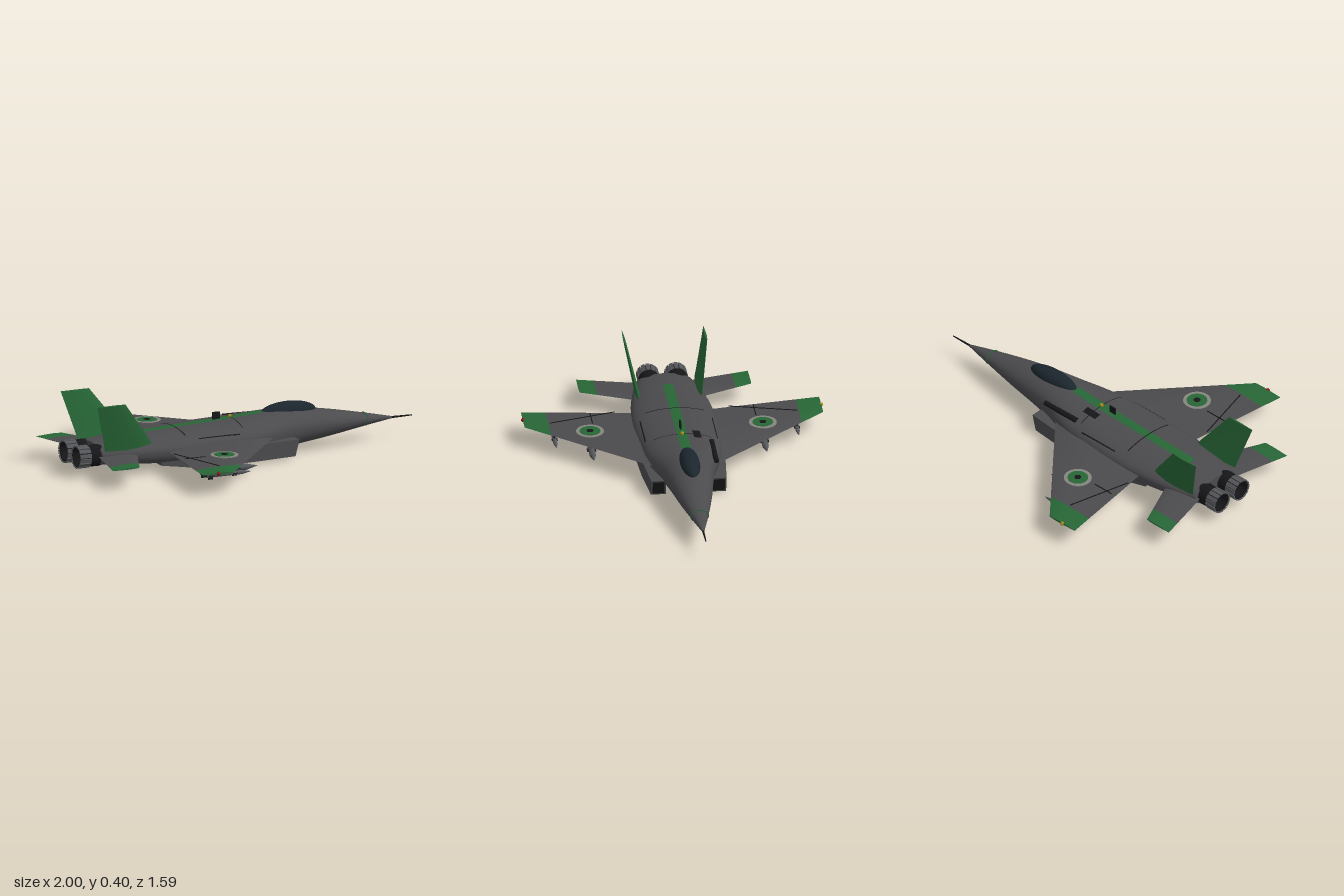
import * as THREE from 'three';
import { toCreasedNormals } from 'three/addons/utils/BufferGeometryUtils.js';

const mat = (c) => new THREE.MeshStandardMaterial({ color: c, side: THREE.DoubleSide });
const BODY = mat(0x4b4b4e), GREEN = mat(0x276636), DARK = mat(0x161618), GLASS = mat(0x1b262d),
  METAL = mat(0x55565a), PALE = mat(0x85857f), RED = mat(0x8a1c1c), AMBER = mat(0xa58a20);

// Fuselage stations: x, half width, top y, bottom y, roundness exponent of the belly
const ST = [
  [-0.88, 0.150, 0.165, 0.050, 2.6], [-0.75, 0.182, 0.180, 0.044, 2.8], [-0.60, 0.208, 0.188, 0.037, 3],
  [-0.40, 0.223, 0.196, 0.028, 3], [-0.20, 0.218, 0.204, 0.022, 3], [0, 0.200, 0.214, 0.020, 3],
  [0.10, 0.176, 0.221, 0.022, 2.8], [0.20, 0.145, 0.226, 0.026, 2.5], [0.32, 0.121, 0.222, 0.034, 2.2],
  [0.50, 0.092, 0.197, 0.054, 2], [0.72, 0.046, 0.154, 0.086, 2], [0.88, 0.006, 0.119, 0.107, 2]];

// Smooth interpolation between stations
function station(x) {
  let i = 0;
  while (i < ST.length - 2 && x > ST[i + 1][0]) i++;
  const slope = (j, k) => {
    const a = ST[Math.max(j - 1, 0)], b = ST[Math.min(j + 1, ST.length - 1)];
    return (b[k] - a[k]) / (b[0] - a[0]);
  };
  const h = ST[i + 1][0] - ST[i][0], t = (x - ST[i][0]) / h, t2 = t * t, t3 = t2 * t;
  const [w, top, bot, n] = [1, 2, 3, 4].map((k) => (2 * t3 - 3 * t2 + 1) * ST[i][k] + (t3 - 2 * t2 + t) * h * slope(i, k)
    + (3 * t2 - 2 * t3) * ST[i + 1][k] + (t3 - t2) * h * slope(i + 1, k));
  return { w, top, bot, n, mid: bot + (top - bot) * 0.52 };
}
const topY = (x, z) => {
  const s = station(x);
  return s.mid + (s.top - s.mid) * Math.sqrt(Math.max(0, 1 - (z / s.w) ** 2));
};

// Skin a list of equal-length rings, cap both ends and orient the faces outward
function loft(rings, crease) {
  const n = rings[0].length, p = rings.flat(2), idx = [];
  for (let r = 0; r < rings.length - 1; r++) for (let i = 0; i < n; i++) {
    const a = r * n + i, b = r * n + (i + 1) % n;
    idx.push(a, b, a + n, b, b + n, a + n);
  }
  [0, rings.length - 1].forEach((r) => {
    const base = p.length / 3, c = [0, 1, 2].map((k) => rings[r].reduce((s, v) => s + v[k], 0) / n);
    p.push(...rings[r].flat(), ...c);
    for (let i = 0; i < n; i++) {
      const a = base + i, b = base + (i + 1) % n;
      idx.push(...(r ? [a, b, base + n] : [b, a, base + n]));
    }
  });
  const v = (i) => new THREE.Vector3().fromArray(p, idx[i] * 3);
  let vol = 0;
  for (let i = 0; i < idx.length; i += 3) vol += v(i).dot(v(i + 1).cross(v(i + 2)));
  if (vol < 0) idx.reverse();
  const g = new THREE.BufferGeometry();
  g.setAttribute('position', new THREE.Float32BufferAttribute(p, 3));
  g.setIndex(idx);
  g.computeVertexNormals();
  return crease ? toCreasedNormals(g, crease) : g;
}

// Aerofoil ring between a leading and trailing point, thickened along nrm
const FOIL = [[0, 0], [0.08, 0.55], [0.35, 1], [0.7, 0.6], [1, 0.08], [1, -0.08], [0.7, -0.6], [0.35, -1], [0.08, -0.55]];
const foil = (le, te, t, nrm) => FOIL.map(([c, h]) => le.map((v, k) => v + (te[k] - v) * c + nrm[k] * h * t));

export function createModel() {
  const root = new THREE.Group();
  const add = (name, geo, m, x = 0, y = 0, z = 0, parent = root) => {
    const o = new THREE.Mesh(geo, m);
    o.name = name;
    o.position.set(x, y, z);
    parent.add(o);
    return o;
  };
  const box = (x, y, z) => new THREE.BoxGeometry(x, y, z);
  const rod = (r0, r1, len, n = 16) => new THREE.CylinderGeometry(r0, r1, len, n).rotateZ(-Math.PI / 2);

  // Fuselage
  const rings = [];
  for (let i = 0; i <= 56; i++) {
    const x = -0.88 + 1.76 * i / 56, s = station(x), ring = [];
    for (let j = 0; j < 48; j++) {
      const a = j / 48 * Math.PI * 2, c = Math.cos(a), d = Math.sin(a), e = d < 0 ? 2 / s.n : 1;
      ring.push([x, s.mid + (d > 0 ? (s.top - s.mid) * d : -(s.mid - s.bot) * (-d) ** e),
        s.w * Math.sign(c) * Math.abs(c) ** e]);
    }
    rings.push(ring);
  }
  add('fuselage', loft(rings, 0.7), BODY);
  add('noseProbe', rod(0.003, 0.006, 0.13, 10), DARK, 0.935, 0.113, 0);
  const s72 = station(0.72);
  add('noseBand', new THREE.TorusGeometry(s72.w, 0.003, 6, 32).rotateY(Math.PI / 2).scale(1, 0.75, 1), GREEN, 0.72, s72.mid, 0);

  // Strips that follow the upper skin
  const strip = (name, m, x0, x1, z0, z1, lift = 0.002) => {
    const g = new THREE.PlaneGeometry(x1 - x0, z1 - z0, 24, 12).rotateX(-Math.PI / 2).translate((x0 + x1) / 2, 0, (z0 + z1) / 2);
    const p = g.attributes.position;
    for (let i = 0; i < p.count; i++) p.setY(i, topY(p.getX(i), p.getZ(i)) + lift);
    g.computeVertexNormals();
    add(name, g, m);
  };
  strip('spineStripe', GREEN, -0.71, 0.12, -0.027, 0.027);
  strip('panelLine', DARK, -0.403, -0.397, -0.155, 0.155, 0.004);
  strip('panelLine', DARK, -0.067, -0.063, -0.155, 0.155, 0.004);
  strip('dorsalPanel', DARK, -0.11, -0.02, -0.098, -0.058, 0.005);

  // Canopy, antenna, beacon, gun and belly sensor
  add('canopy', new THREE.SphereGeometry(1, 40, 24).scale(0.16, 0.055, 0.053), GLASS, 0.275, 0.207, 0);
  add('bladeAntenna', box(0.042, 0.05, 0.008), DARK, -0.145, 0.222, 0);
  add('beacon', new THREE.SphereGeometry(0.011, 12, 8), AMBER, -0.065, 0.217, 0);
  add('gunFairing', rod(0.013, 0.016, 0.23), DARK, 0.085, 0.178, -0.15);
  add('bellySensor', new THREE.SphereGeometry(0.016, 16, 12), DARK, 0.315, 0.016, 0);
  add('sensorMount', box(0.03, 0.025, 0.018), DARK, 0.315, 0.034, 0);

  // Everything that comes in pairs
  for (const s of [1, -1]) {
    const side = s > 0 ? 'right' : 'left';
    strip('sideLine', DARK, -0.34, -0.1, s * 0.19 - 0.003, s * 0.19 + 0.003, 0.003);

    // Intake duct with slanted mouth
    const duct = (xt, xb, yt, yb, zi, zo) => [[xt, yt, s * zi], [xt, yt, s * zo], [xb, yb, s * zo], [xb, yb, s * zi]];
    add(side + 'Intake', loft([duct(0.245, 0.222, 0.1, 0.012, 0.12, 0.198), duct(0, 0, 0.1, 0.012, 0.12, 0.22),
      duct(-0.2, -0.2, 0.095, 0.012, 0.12, 0.228), duct(-0.37, -0.37, 0.09, 0.014, 0.12, 0.215),
      duct(-0.55, -0.55, 0.09, 0.036, 0.12, 0.18)], 0.3), BODY);
    add(side + 'IntakeMouth', loft([duct(0.2445, 0.226, 0.092, 0.02, 0.128, 0.19), duct(0.2, 0.2, 0.092, 0.02, 0.128, 0.19)], 0.3), DARK);

    // Main wing with painted tip
    const wing = (z) => {
      const t = (z - 0.2) / 0.585;
      return foil([0.08 - 0.51 * t, 0.117 - 0.002 * t, s * z], [-0.53 - 0.08 * t, 0.115, s * z], 0.018 - 0.012 * t, [0, 1, 0]);
    };
    add(side + 'Wing', loft([wing(0.12), wing(0.66)], 0.5), BODY);
    add(side + 'WingTip', loft([wing(0.66), wing(0.785)], 0.5), GREEN);
    add(side + 'TipLight', new THREE.SphereGeometry(0.011, 12, 8), s > 0 ? RED : AMBER, -0.52, 0.115, s * 0.785);
    const hinge = add(side + 'WingHinge', box(0.36, 0.003, 0.005), DARK, -0.495, 0.124, s * 0.475);
    hinge.rotation.y = -s * Math.atan2(0.35, 0.09);
    add(side + 'FlapGap', box(0.12, 0.003, 0.005), DARK, -0.48, 0.124, s * 0.43);
    [[0.073, PALE], [0.054, GREEN], [0.018, DARK]].forEach(([r, m], i) =>
      add(side + 'WingDisc', new THREE.CylinderGeometry(r, r, 0.004, 40), m, -0.322, 0.1285 + i * 0.0015, s * 0.455));

    // Tailplane with painted tip
    const tail = (z) => {
      const t = (z - 0.18) / 0.272;
      return foil([-0.695 - 0.12 * t, 0.11, s * z], [-0.905 - 0.067 * t, 0.107, s * z], 0.01 - 0.006 * t, [0, 1, 0]);
    };
    add(side + 'Tailplane', loft([tail(0.1), tail(0.365)], 0.5), BODY);
    add(side + 'TailplaneTip', loft([tail(0.365), tail(0.452)], 0.5), GREEN);

    // Canted fin
    const n = [0, -0.2 * s, 0.98];
    add(side + 'Fin', loft([foil([-0.59, 0.14, s * 0.16], [-0.872, 0.14, s * 0.16], 0.014, n),
      foil([-0.62, 0.187, s * 0.171], [-0.884, 0.187, s * 0.171], 0.011, n),
      foil([-0.78, 0.395, s * 0.215], [-0.945, 0.395, s * 0.215], 0.006, n)], 0.5), GREEN);

    // Engine nozzle: collar, open flared cup and ring of petals
    const nozzle = new THREE.Group();
    nozzle.name = side + 'Nozzle';
    nozzle.position.set(0, 0.106, s * 0.074);
    root.add(nozzle);
    const prof = [[0.05, -0.84], [0.058, -0.88], [0.055, -0.94], [0.054, -0.995], [0.046, -0.995], [0.038, -0.9], [0, -0.9]];
    add('nozzleCup', toCreasedNormals(new THREE.LatheGeometry(prof.map((q) => new THREE.Vector2(...q)), 32).rotateZ(-Math.PI / 2), 0.6), DARK, 0, 0, 0, nozzle);
    for (let i = 0; i < 14; i++) {
      const a = i / 14 * Math.PI * 2;
      const petal = add('nozzlePetal', box(0.065, 0.007, 0.021), METAL, -0.9675, Math.cos(a) * 0.056, Math.sin(a) * 0.056, nozzle);
      petal.rotation.x = a;
    }

    // Underwing stores on pylons: centre x, y, z, length, radius
    for (const [x, y, z, len, r] of [[-0.295, 0.052, 0.455, 0.33, 0.017], [-0.385, 0.073, 0.638, 0.25, 0.011]]) {
      const store = new THREE.Group();
      store.name = side + 'Store';
      store.position.set(x, y, s * z);
      root.add(store);
      add('storeBody', rod(r, r, len * 0.8), METAL, -len * 0.1, 0, 0, store);
      add('storeNose', rod(0.001, r, len * 0.2), METAL, len * 0.4, 0, 0, store);
      add('pylon', box(len * 0.4, 0.112 - y, 0.01), DARK, -0.02, (0.112 - y) / 2, 0, store);
      for (const [fx, k] of [[-0.44, 1], [0.12, 0.7]]) for (const a of [0, Math.PI / 2])
        add('storeFin', box(len * 0.11, r * 4 * k, 0.003), DARK, len * fx, 0, 0, store).rotation.x = a;
    }
  }
  return root;
}
